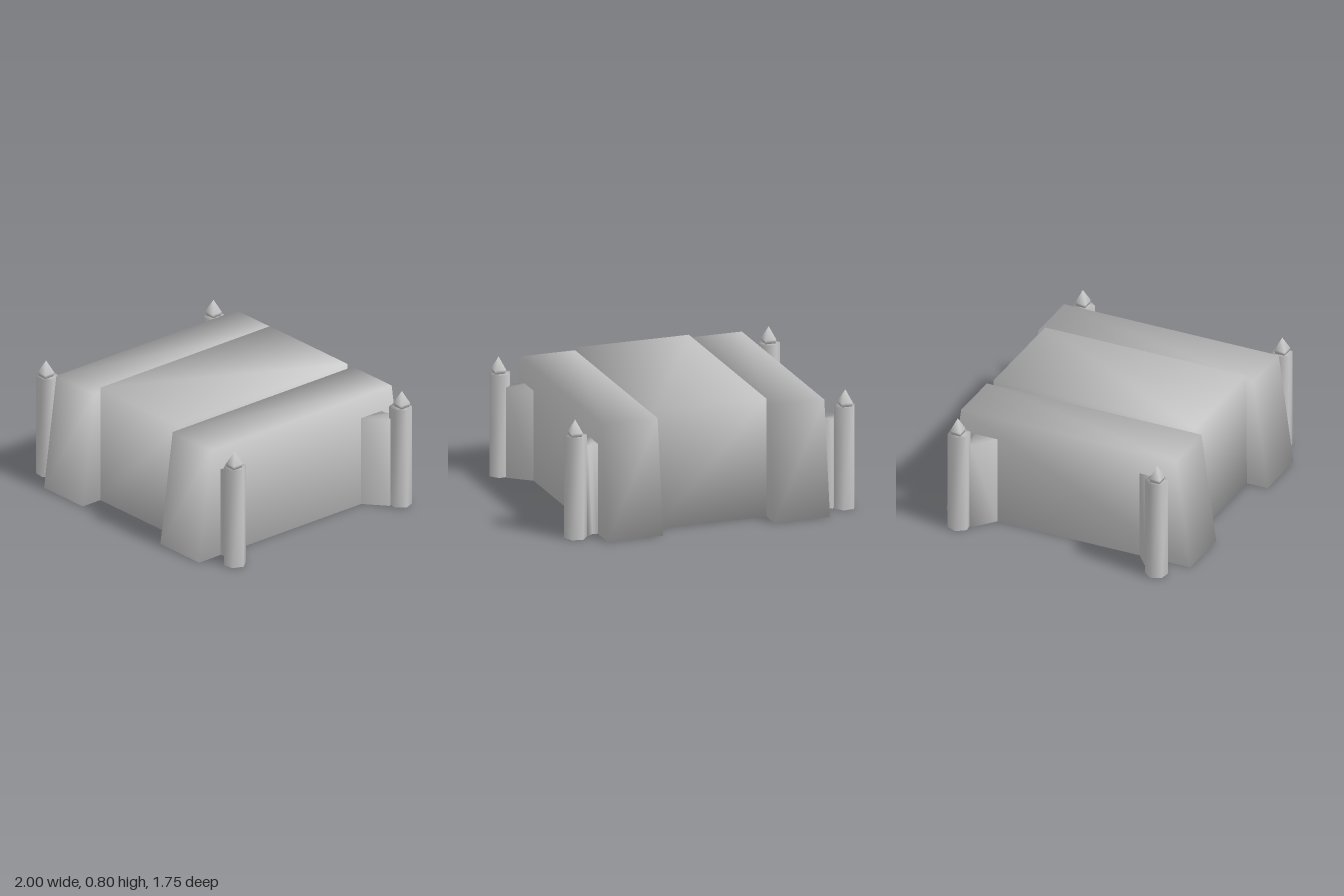
import * as THREE from 'three';
import { mergeVertices } from 'three/addons/utils/BufferGeometryUtils.js';

const material = new THREE.MeshStandardMaterial({ color: 0xcccccc });

// Shares corners between faces so the shading runs softly over the edges
function soften(geometry) {
  geometry.deleteAttribute('uv');
  geometry.deleteAttribute('normal');
  const merged = mergeVertices(geometry, 1e-4);
  merged.computeVertexNormals();
  return merged;
}

function addPart(parent, name, geometry) {
  const mesh = new THREE.Mesh(soften(geometry), material);
  mesh.name = name;
  parent.add(mesh);
  return mesh;
}

function extrude(points, depth) {
  const shape = new THREE.Shape(points.map(([x, y]) => new THREE.Vector2(x, y)));
  return new THREE.ExtrudeGeometry(shape, { depth, bevelEnabled: false });
}

// Block running front to back with a trapezoid side profile
function blockGeometry(xMin, xMax, height, zBottom, zTop) {
  const profile = [[-zBottom, 0], [zBottom, 0], [zTop, height], [-zTop, height]];
  return extrude(profile, xMax - xMin).rotateY(Math.PI / 2).translate(xMin, 0, 0);
}

// Plan of the diagonal wall at the front left corner, as [x, z]
const wallPlan = [
  [0.70, 0.455], [0.765, 0.51], [0.909, 0.631], [0.84, 0.717],
  [0.80, 0.682], [0.765, 0.69], [0.70, 0.69],
];

// Hexagonal post with a square pointed finial, tied to the body by a wall
function createCorner(sx, sz) {
  const corner = new THREE.Group();
  corner.name = (sz > 0 ? 'front' : 'back') + (sx > 0 ? 'Left' : 'Right') + 'Corner';

  const plan = wallPlan.map(([x, z]) => [x * sx, -z * sz]);
  addPart(corner, 'diagonalWall', extrude(plan, 0.61).rotateX(-Math.PI / 2));

  const post = new THREE.CylinderGeometry(0.075, 0.075, 0.69, 6);
  post.rotateY(Math.PI / 2 + sx * sz * 0.14).translate(sx * 0.925, 0.345, sz * 0.708);
  addPart(corner, 'post', post);

  const profile = [[0, 0.69], [0.048, 0.69], [0.054, 0.715], [0, 0.80]];
  const finial = new THREE.LatheGeometry(profile.map(([r, y]) => new THREE.Vector2(r, y)), 4);
  finial.rotateY(Math.PI / 4).translate(sx * 0.93, 0, sz * 0.715);
  addPart(corner, 'finial', finial);
  return corner;
}

export function createModel() {
  const model = new THREE.Group();
  model.name = 'gatehouse';

  // Main body: upright centre between two sloping wings
  addPart(model, 'centreBlock', blockGeometry(-0.383, 0.383, 0.80, 0.725, 0.722));
  addPart(model, 'leftWing', blockGeometry(0.383, 0.765, 0.765, 0.875, 0.77));
  addPart(model, 'rightWing', blockGeometry(-0.765, -0.383, 0.765, 0.875, 0.77));

  // Four corner posts
  for (const sx of [-1, 1]) {
    for (const sz of [-1, 1]) model.add(createCorner(sx, sz));
  }
  return model;
}
